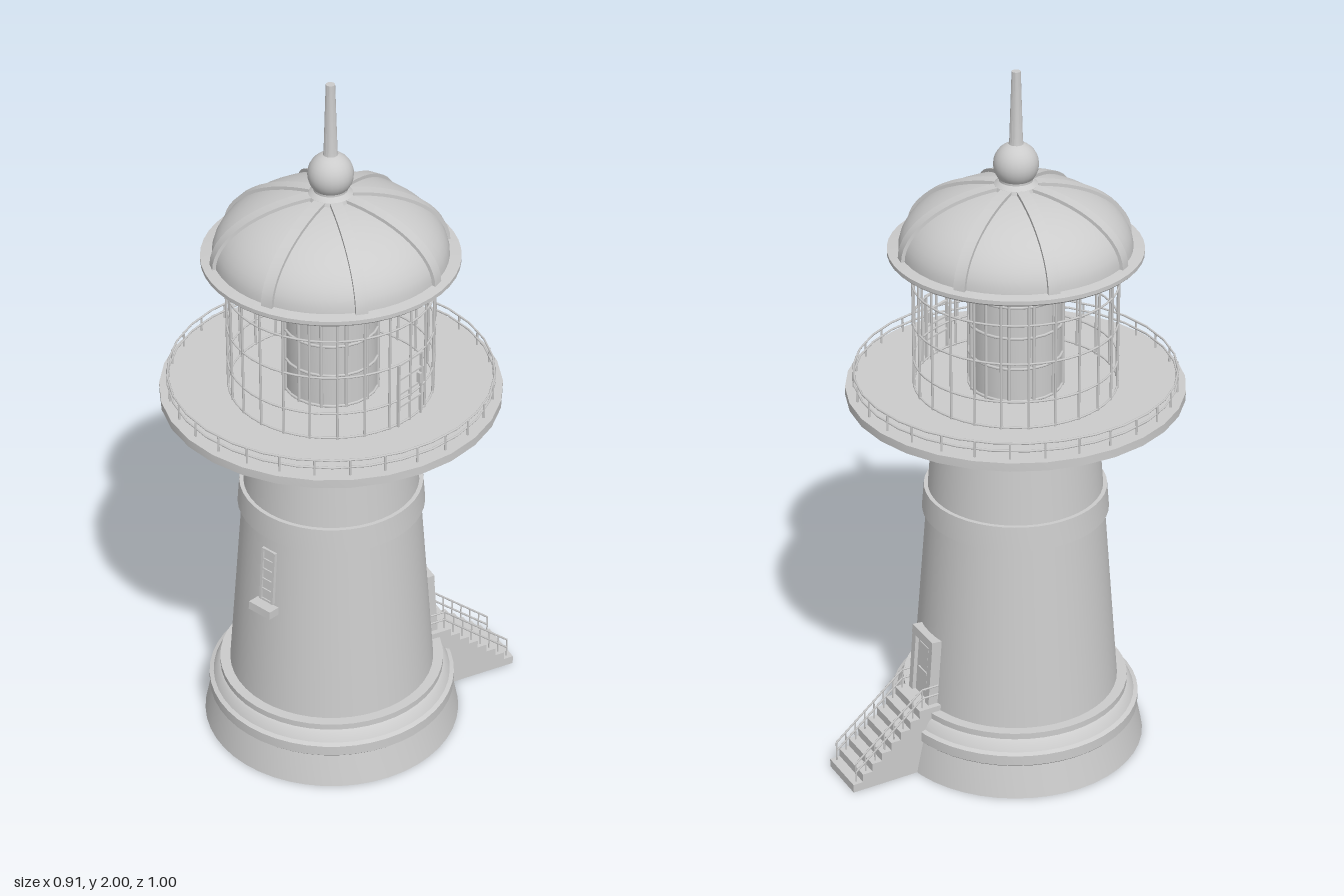
import * as THREE from 'three';
import { toCreasedNormals } from 'three/addons/utils/BufferGeometryUtils.js';

const mat = new THREE.MeshStandardMaterial({ color: 0xcccccc });
const V = (x, y, z) => new THREE.Vector3(x, y, z);

function add(parent, name, geo, x = 0, y = 0, z = 0) {
  const m = new THREE.Mesh(geo, mat);
  m.name = name;
  m.position.set(x, y, z);
  parent.add(m);
  return m;
}

// Turned part from [radius, height] pairs, listed bottom to top
function turned(parent, name, pts, segments = 48) {
  const g = new THREE.LatheGeometry(pts.map(p => new THREE.Vector2(...p)), segments);
  return add(parent, name, toCreasedNormals(g, 0.5));
}

const box = (parent, name, w, h, d, x, y, z) => add(parent, name, new THREE.BoxGeometry(w, h, d), x, y, z);

// Round bar between two points
function bar(parent, name, a, b, r) {
  const m = add(parent, name, new THREE.CylinderGeometry(r, r, a.distanceTo(b), 6));
  m.position.copy(a).lerp(b, 0.5);
  m.quaternion.setFromUnitVectors(V(0, 1, 0), b.clone().sub(a).normalize());
}

// Horizontal hoop
function hoop(parent, name, radius, y, r, segments = 48) {
  add(parent, name, new THREE.TorusGeometry(radius, r, 6, segments).rotateX(Math.PI / 2), 0, y, 0);
}

// Ring of upright bars
function uprights(parent, name, count, radius, y0, y1, r) {
  for (let i = 0; i < count; i++) {
    const a = (i / count) * Math.PI * 2;
    const x = Math.sin(a) * radius, z = Math.cos(a) * radius;
    bar(parent, name, V(x, y0, z), V(x, y1, z), r);
  }
}

function group(parent, name, angle = 0) {
  const g = new THREE.Group();
  g.name = name;
  g.rotation.y = angle;
  parent.add(g);
  return g;
}

export function createModel() {
  const model = new THREE.Group();
  model.name = 'lighthouse';
  const tower = group(model, 'tower');
  tower.position.z = 0.04;

  // Masonry: plinth, tapered shaft, belt and collar
  turned(tower, 'plinth', [[0, 0], [0.365, 0], [0.345, 0.095], [0.35, 0.1], [0.35, 0.13],
    [0.338, 0.135], [0.325, 0.16], [0.318, 0.165], [0.318, 0.183], [0.28, 0.183]]);
  turned(tower, 'shaft', [[0.29, 0.18], [0.225, 1.0]]);
  turned(tower, 'belt', [[0.24, 0.73], [0.258, 0.73], [0.252, 0.8], [0.235, 0.8]]);
  turned(tower, 'collar', [[0.22, 1.0], [0.256, 1.0], [0.256, 1.05]]);

  // Gallery deck and railing
  turned(tower, 'galleryDeck', [[0.2, 1.05], [0.29, 1.05], [0.38, 1.075], [0.44, 1.086], [0.46, 1.086],
    [0.46, 1.11], [0, 1.11]], 30);
  const railing = group(tower, 'galleryRailing');
  for (const y of [1.133, 1.155]) hoop(railing, 'galleryRail', 0.437, y, 0.003, 30);
  uprights(railing, 'galleryPost', 30, 0.437, 1.11, 1.155, 0.003);

  // Lantern cage with its access door frame on the left side
  const lantern = group(tower, 'lantern');
  uprights(lantern, 'glazingBar', 24, 0.275, 1.11, 1.5, 0.0035);
  for (const y of [1.115, 1.19, 1.3, 1.41, 1.49]) hoop(lantern, 'glazingHoop', 0.275, y, 0.003);
  const hatch = group(lantern, 'lanternDoor', Math.PI / 2);
  for (const s of [-1, 1]) box(hatch, 'doorStile', 0.006, 0.19, 0.008, s * 0.045, 1.205, 0.274);
  for (const y of [1.17, 1.21, 1.255, 1.3]) box(hatch, 'doorBar', 0.09, 0.005, 0.008, 0, y, 0.274);
  box(hatch, 'doorHandle', 0.008, 0.03, 0.012, 0.03, 1.23, 0.281);

  // Lamp core
  turned(lantern, 'lampCore', [[0.125, 1.11], [0.125, 1.475], [0, 1.475]], 24);
  uprights(lantern, 'lampBar', 12, 0.127, 1.11, 1.475, 0.005);
  for (const y of [1.115, 1.21, 1.3, 1.39, 1.47]) hoop(lantern, 'lampHoop', 0.127, y, 0.004, 24);

  // Roof: eave, dome, ribs
  turned(tower, 'eave', [[0, 1.495], [0.335, 1.495], [0.34, 1.5], [0.34, 1.511], [0.3, 1.516]]);
  const rise = t => [0.31 * Math.cos(t), 1.511 + 0.173 * Math.sin(t)];
  const steps = Array.from({ length: 15 }, (_, i) => (i / 14) * Math.PI / 2);
  turned(tower, 'dome', steps.map(rise));
  const ribShape = new THREE.Shape([
    ...steps.map(t => { const [x, y] = rise(t); return new THREE.Vector2(x + 0.009 * Math.cos(t), y + 0.009 * Math.sin(t)); }),
    ...steps.slice().reverse().map(t => { const [x, y] = rise(t); return new THREE.Vector2(x * 0.97, y - 0.004); }),
  ]);
  const rib = new THREE.ExtrudeGeometry(ribShape, { depth: 0.032, bevelEnabled: false });
  rib.translate(0, 0, -0.016);
  const ribGeo = toCreasedNormals(rib, 0.5);
  for (let i = 0; i < 8; i++) add(tower, 'roofRib', ribGeo).rotation.y = 0.19 + i * Math.PI / 4;

  // Finial
  turned(tower, 'finialNeck', [[0.065, 1.67], [0.058, 1.69], [0.045, 1.7], [0.045, 1.72]], 24);
  add(tower, 'finialBall', new THREE.SphereGeometry(0.06, 24, 16), 0, 1.745, 0);
  turned(tower, 'spire', [[0.022, 1.79], [0.018, 1.81], [0.012, 2.0], [0, 2.0]], 16);

  // Front window, leaning with the wall
  const win = group(tower, 'window');
  win.position.set(0, 0.605, 0.257);
  win.rotation.x = -0.079;
  box(win, 'windowPane', 0.04, 0.16, 0.004, 0, 0, 0);
  for (const s of [-1, 1]) box(win, 'windowJamb', 0.007, 0.165, 0.014, s * 0.021, 0, 0);
  for (let i = 0; i < 6; i++) box(win, 'windowBar', 0.042, 0.006, 0.012, 0, -0.08 + i * 0.032, 0);
  box(win, 'windowSill', 0.077, 0.024, 0.045, 0, -0.1, 0.01);

  // Entrance: local +z points out through the door
  const entrance = group(tower, 'entrance', Math.PI - Math.PI / 8);
  const door = group(entrance, 'door');
  door.position.set(0, 0.295, 0.276);
  door.rotation.x = -0.079;
  box(door, 'doorLeaf', 0.08, 0.18, 0.03, 0, -0.01, 0.001);
  for (const s of [-1, 1]) box(door, 'doorJamb', 0.02, 0.2, 0.05, s * 0.048, 0, 0.002);
  box(door, 'doorLintel', 0.116, 0.025, 0.052, 0, 0.09, 0.002);
  for (const y of [-0.045, 0.035]) box(door, 'doorPanel', 0.05, 0.06, 0.006, 0, y, 0.017);
  add(door, 'doorKnob', new THREE.SphereGeometry(0.005, 8, 6), 0.032, -0.005, 0.02);

  // Solid flight of steps down to the ground
  const count = 8, run = 0.03, riser = 0.025, outer = 0.556;
  const flight = new THREE.Shape();
  flight.moveTo(0.25, 0);
  flight.lineTo(outer, 0);
  for (let i = 0; i < count; i++) {
    flight.lineTo(outer - i * run, (i + 1) * riser);
    flight.lineTo(i < count - 1 ? outer - (i + 1) * run : 0.25, (i + 1) * riser);
  }
  const stairs = new THREE.ExtrudeGeometry(flight, { depth: 0.146, bevelEnabled: false });
  stairs.translate(0, 0, -0.073).rotateY(-Math.PI / 2);
  add(entrance, 'stairs', stairs);

  // Stair handrails on both sides
  for (const x of [-0.06, 0.06]) {
    for (const h of [0.03, 0.058]) {
      bar(entrance, 'stairRail', V(x, riser + h, outer - 0.015), V(x, count * riser + h, outer - 0.015 - (count - 1) * run), 0.003);
      bar(entrance, 'landingRail', V(x, count * riser + h, outer - 0.015 - (count - 1) * run), V(x, count * riser + h, 0.28), 0.003);
    }
    for (let i = 0; i < count; i++) {
      const z = outer - 0.015 - i * run, y = (i + 1) * riser;
      bar(entrance, 'stairPost', V(x, y, z), V(x, y + 0.058, z), 0.0025);
    }
  }
  return model;
}
